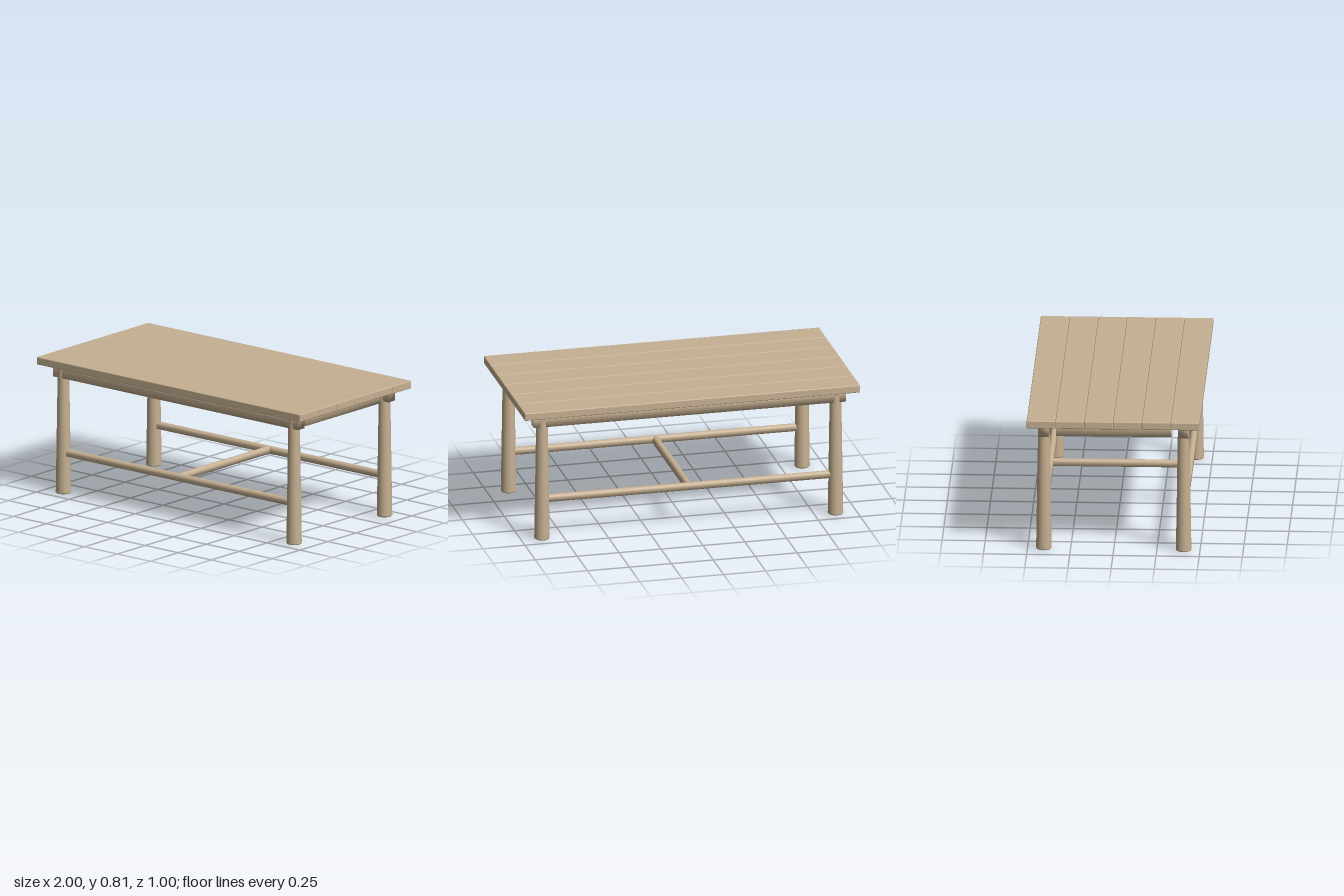
import * as THREE from 'three';
import { mergeVertices } from 'three/addons/utils/BufferGeometryUtils.js';
import { RoundedBoxGeometry } from 'three/addons/geometries/RoundedBoxGeometry.js';

const LEG_X = 0.875, LEG_Z = 0.405, TOP_Y = 0.765;

// Bar along x with an arched top and flat underside, standing on y = 0, softly shaded
function archedBar(length, width, height) {
  const r = width / 2;
  const shape = new THREE.Shape();
  shape.moveTo(-r, 0);
  shape.lineTo(r, 0);
  shape.lineTo(r, height - r);
  shape.absarc(0, height - r, r, 0, Math.PI, false);
  shape.closePath();
  let geo = new THREE.ExtrudeGeometry(shape, { depth: length, bevelEnabled: false, curveSegments: 14 });
  geo.translate(0, 0, -length / 2);
  geo.rotateY(Math.PI / 2);
  geo.deleteAttribute('normal');
  geo.deleteAttribute('uv');
  geo = mergeVertices(geo, 1e-4);
  geo.computeVertexNormals();
  return geo;
}

export function createModel() {
  const table = new THREE.Group();
  table.name = 'table';
  const wood = new THREE.MeshStandardMaterial({ color: 0xc6b092 });
  wood.name = 'pale wood';

  function add(name, geo, x, y, z, turn = 0) {
    const mesh = new THREE.Mesh(geo, wood);
    mesh.name = name;
    mesh.position.set(x, y, z);
    mesh.rotation.y = turn;
    table.add(mesh);
  }

  // Table top: six long planks side by side
  const planks = 6, plankWidth = 1 / planks;
  const plank = new RoundedBoxGeometry(2, 0.046, plankWidth, 3, 0.006);
  for (let i = 0; i < planks; i++) {
    add('topPlank', plank, 0, TOP_Y + 0.023, -0.5 + plankWidth * (i + 0.5));
  }

  // Turned legs, tapering upwards, with a softened foot
  const body = new THREE.CylinderGeometry(0.033, 0.045, TOP_Y - 0.005, 32);
  const foot = new THREE.CylinderGeometry(0.045, 0.042, 0.005, 32);
  for (const sx of [-1, 1]) for (const sz of [-1, 1]) {
    add('leg', body, sx * LEG_X, (TOP_Y + 0.005) / 2, sz * LEG_Z);
    add('legFoot', foot, sx * LEG_X, 0.0025, sz * LEG_Z);
  }

  // Long rails pass through the legs and end as tenons; stretchers run between the legs
  const longRail = archedBar(1.86, 0.06, 0.073);
  const stretcher = archedBar(1.7, 0.04, 0.04);
  for (const s of [-1, 1]) {
    add('longRail', longRail, 0, 0.693, s * LEG_Z);
    add('longStretcher', stretcher, 0, 0.226, s * LEG_Z);
  }

  // Short rails stop just before the legs
  const shortRail = archedBar(0.668, 0.06, 0.073);
  for (const s of [-1, 1]) add('shortRail', shortRail, s * LEG_X, 0.693, 0, Math.PI / 2);

  // Middle stretcher joining the two long ones
  add('crossStretcher', archedBar(0.79, 0.04, 0.04), 0, 0.226, 0, Math.PI / 2);

  return table;
}
